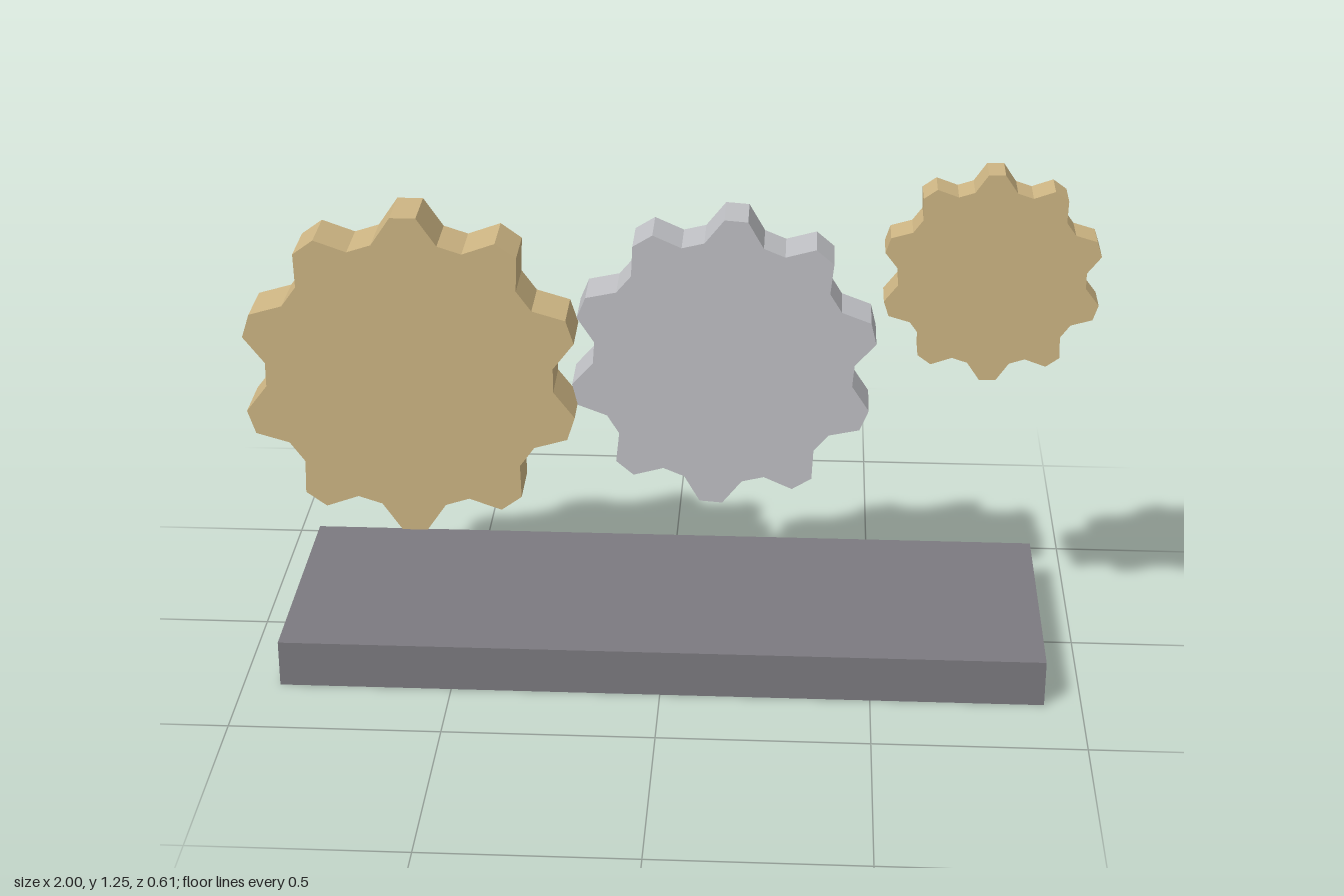
import * as THREE from 'three';

const TEETH = 10;
const STEP = (Math.PI * 2) / TEETH;

// Spur gear: each tooth has a flat tip and slanted flanks down to a flat root
function gear(name, color, x, y, z, radius, depth, startAngle) {
  const points = [];
  const root = radius * 0.85;
  for (let i = 0; i < TEETH; i++) {
    const a = startAngle + i * STEP;
    for (const [offset, r] of [[-0.36, root], [-0.12, radius], [0.12, radius], [0.36, root]]) {
      const t = a + offset * STEP;
      points.push(new THREE.Vector2(Math.cos(t) * r, Math.sin(t) * r));
    }
  }
  const geometry = new THREE.ExtrudeGeometry(new THREE.Shape(points), { depth, bevelEnabled: false });
  geometry.translate(0, 0, -depth / 2);
  const mesh = new THREE.Mesh(geometry, new THREE.MeshStandardMaterial({ color, flatShading: true }));
  mesh.name = name;
  mesh.position.set(x, y, z);
  return mesh;
}

export function createModel() {
  const model = new THREE.Group();
  model.name = 'gearTrain';
  const gold = 0xcdb583, silver = 0xbfc0c4;

  // Base slab
  const base = new THREE.Mesh(
    new THREE.BoxGeometry(1.824, 0.115, 0.609),
    new THREE.MeshStandardMaterial({ color: 0x7c7a80, flatShading: true })
  );
  base.name = 'basePlate';
  base.position.y = 0.0575;
  model.add(base);

  // Three gears above the base, the middle one turned to mesh
  model.add(
    gear('largeGear', gold, -0.607, 0.708, 0, 0.404, 0.136, Math.PI / 2),
    gear('middleGear', silver, 0.137, 0.756, 0, 0.362, 0.121, THREE.MathUtils.degToRad(85.7)),
    gear('smallGear', gold, 0.754, 0.992, 0.035, 0.254, 0.084, Math.PI / 2)
  );
  return model;
}
